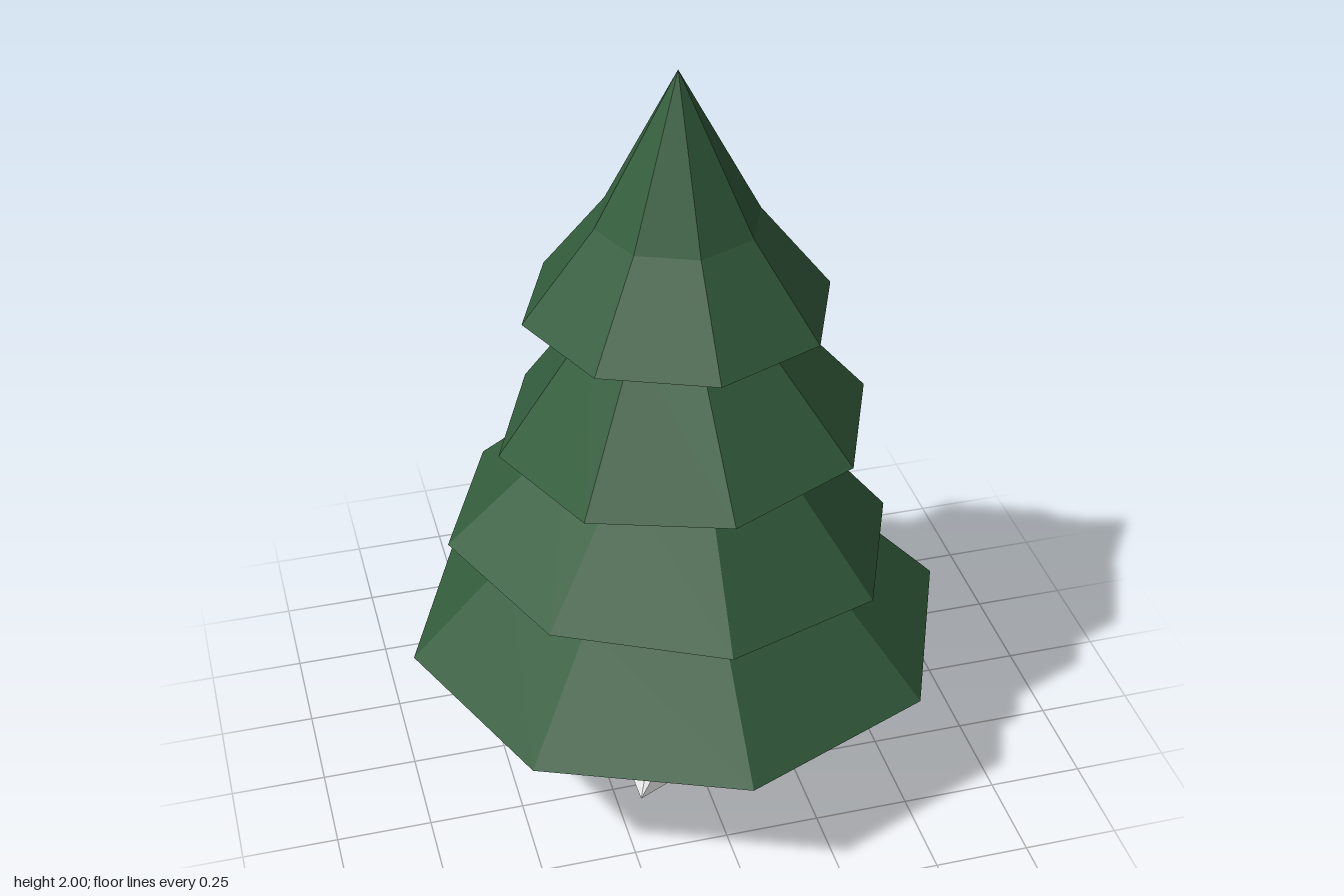
import * as THREE from 'three';

const SIDES = 8;

function material(name, color) {
  const m = new THREE.MeshStandardMaterial({ color, flatShading: true, side: THREE.DoubleSide });
  m.name = name;
  return m;
}

// Open loft through rings of equal length, each a list of [x, y, z]
function loft(rings) {
  const n = rings[0].length;
  const index = [];
  for (let r = 0; r < rings.length - 1; r++) {
    for (let i = 0; i < n; i++) {
      const a = r * n + i, b = r * n + (i + 1) % n;
      index.push(a, b, b + n, a, b + n, a + n);
    }
  }
  const g = new THREE.BufferGeometry();
  g.setAttribute('position', new THREE.Float32BufferAttribute(rings.flat(2), 3));
  g.setIndex(index);
  g.computeVertexNormals();
  return g;
}

export function createModel() {
  const tree = new THREE.Group();
  tree.name = 'pineTree';
  const green = material('needle green', 0x335c3c);
  const bark = material('pale bark', 0xe8e8e8);

  // Branch skirts: hollow eight-sided cones, the middle two slightly tilted.
  // Profiles are [radius, height above the rim].
  const tiers = [
    { name: 'bottomBranches', x: 0, y: 0.365, tiltX: 0, tiltZ: 0, profile: [[0.73, 0], [0.46, 0.28], [0.15, 0.6]] },
    { name: 'lowerBranches', x: -0.02, y: 0.675, tiltX: -0.02, tiltZ: -0.075, profile: [[0.6, 0], [0.29, 0.32], [0.15, 0.48]] },
    { name: 'upperBranches', x: 0.015, y: 1.002, tiltX: 0, tiltZ: 0.056, profile: [[0.49, 0], [0.21, 0.36], [0.12, 0.51]] },
    { name: 'topBranches', x: 0, y: 1.357, tiltX: 0, tiltZ: 0, profile: [[0.4, 0], [0.212, 0.243], [0, 0.643]] },
  ];
  for (const t of tiers) {
    const points = t.profile.map(([r, y]) => new THREE.Vector2(r, y));
    const mesh = new THREE.Mesh(new THREE.LatheGeometry(points, SIDES), green);
    mesh.name = t.name;
    mesh.position.set(t.x, t.y, 0);
    mesh.rotation.set(t.tiltX, 0, t.tiltZ);
    tree.add(mesh);
  }

  // Star of five root tips with the valleys between them, going from +z to +x
  const star = [
    [0, 0.215], [0.145, 0.27], [0.205, 0.03], [0.35, -0.23], [0.09, -0.19],
    [0.01, -0.3], [-0.11, -0.19], [-0.3, -0.145], [-0.19, 0.06], [-0.185, 0.305],
  ];
  // Trunk rings keep the root directions: [centre x, height, radius]
  const levels = [
    [-0.02, 0.165, 0.165], [-0.035, 0.28, 0.137], [-0.03, 0.38, 0.13],
    [-0.01, 0.82, 0.1], [0, 1.3, 0.065], [0, 1.6, 0.035],
  ];
  const rings = levels.map(([cx, y, r]) => star.map(([x, z]) => {
    const a = Math.atan2(x + 0.02, z);
    return [cx + r * Math.sin(a), y, r * Math.cos(a)];
  }));

  const roots = new THREE.Mesh(loft([star.map(([x, z]) => [x, 0, z]), rings[0]]), bark);
  roots.name = 'roots';
  const trunk = new THREE.Mesh(loft(rings), bark);
  trunk.name = 'trunk';
  tree.add(roots, trunk);

  return tree;
}
